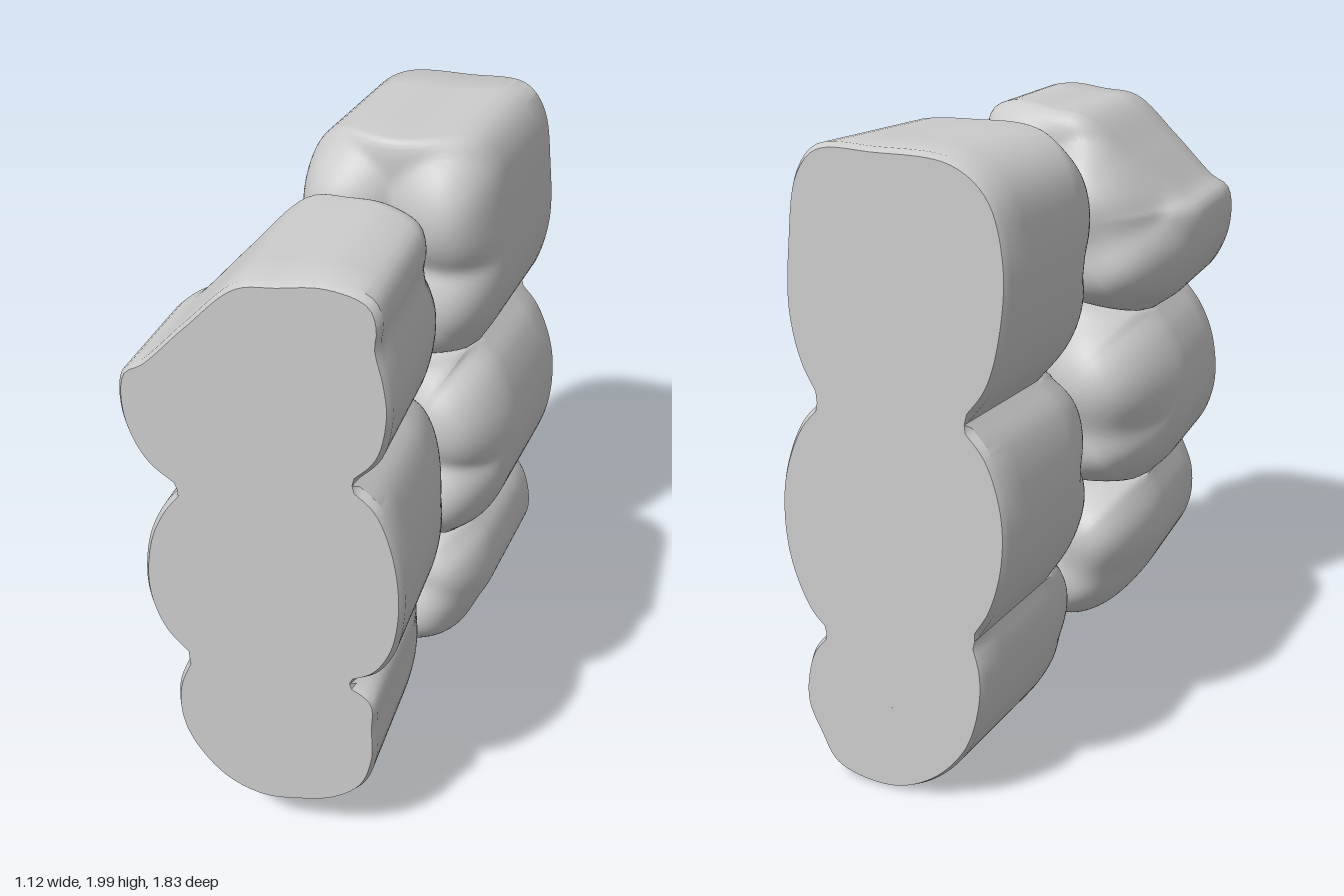
import * as THREE from 'three';
import { toCreasedNormals } from 'three/addons/utils/BufferGeometryUtils.js';

const CROWN_RINGS = 36, BASIN = 0.52, CHAMFER = 0.022;

// Closed rim of a tooth, counter-clockwise seen from +z: smooth outer walls joined by
// straight seams to the neighbouring teeth. seam is 0 to 1 along a seam, null on a wall.
function toothRim(walls) {
  const rim = [];
  walls.forEach((wall, w) => {
    const curve = new THREE.CatmullRomCurve3(wall.map(([x, y]) => new THREE.Vector3(x, y, 0)));
    const outer = curve.getSpacedPoints(Math.round(80 / walls.length));
    const from = outer[outer.length - 1], to = new THREE.Vector3(...walls[(w + 1) % walls.length][0], 0);
    outer.slice(1, -1).forEach((p) => rim.push({ x: p.x, y: p.y, seam: null }));
    for (let k = 0; k <= 24; k++) {
      const p = from.clone().lerp(to, k / 24);
      rim.push({ x: p.x, y: p.y, seam: k / 24 });
    }
  });
  return rim;
}

// One molar: a straight root block topped by a crown of rounded cusps [x, y, tip z, radius].
// dir is the z direction the crown faces; free is +1 or -1 where the row ends above or below.
function molarGeometry({ walls, cusps, free }, { dir, base, shoulder, lift }) {
  const rim = toothRim(walls), sides = rim.length;
  const box = new THREE.Box2().setFromPoints(rim);
  const c = box.getCenter(new THREE.Vector2());
  const half = box.getSize(new THREE.Vector2()).multiplyScalar(0.5);

  // Height of the crown margin: raised at the row's ends and in the middle of each seam
  const marginAt = ({ x, y, seam }) => {
    if (seam !== null) return shoulder + lift * Math.sqrt(Math.max(0, Math.sin(Math.PI * seam)));
    const a = Math.atan2((y - c.y) / half.y, (x - c.x) / half.x);
    return shoulder + lift * Math.max(0, free * Math.sin(a)) ** 4;
  };

  // Soft union of the domed cusps and the basin between them, measured from the floor
  const cuspRise = (x, y, floor) => {
    let sum = (BASIN * (-0.08 - floor)) ** 8;
    for (const [cx, cy, tip, r] of cusps) {
      const d2 = ((x - cx) ** 2 + (y - cy) ** 2) / (r * r);
      sum += ((dir * tip - floor) * Math.sqrt(Math.max(0, 1 - d2 * 0.92))) ** 8;
    }
    return sum ** 0.125;
  };

  const positions = [], index = [];
  let rings = 0;
  const addRing = (scaleAt, heightAt) => {
    for (const p of rim) {
      const s = scaleAt(p), x = c.x + (p.x - c.x) * s, y = c.y + (p.y - c.y) * s;
      positions.push(x, y, dir * heightAt(p, x, y));
    }
    rings++;
  };

  // Flat base, chamfer and wall
  const foot = (p) => (p.seam === null ? base + CHAMFER : base);
  addRing(() => 0.001, () => base);
  addRing((p) => (p.seam === null ? 0.965 : 1), () => base);
  for (let k = 0; k <= 4; k++) addRing(() => 1, (p) => THREE.MathUtils.lerp(foot(p), marginAt(p), k / 4));
  const wallTop = rings - 1;
  // Crown
  for (let k = 1; k <= CROWN_RINGS; k++) {
    const t = Math.max(0.001, Math.cos(k / CROWN_RINGS * Math.PI / 2));
    const dome = Math.sqrt(1 - t ** 5.5);
    addRing(() => t, (p, x, y) => {
      const floor = THREE.MathUtils.lerp(shoulder + lift * 0.5, marginAt(p), t * t);
      return floor + dome * cuspRise(x, y, floor);
    });
  }

  for (let r = 0; r < rings - 1; r++) {
    for (let i = 0; i < sides; i++) {
      const j = (i + 1) % sides;
      // Neighbouring teeth are open to each other along the seams
      if (r >= 1 && r < wallTop && rim[i].seam !== null && rim[j].seam !== null) continue;
      const a = r * sides + i, b = r * sides + j, d = a + sides, e = b + sides;
      if (dir > 0) index.push(a, b, e, a, e, d);
      else index.push(a, e, b, a, d, e);
    }
  }
  const geo = new THREE.BufferGeometry();
  geo.setAttribute('position', new THREE.Float32BufferAttribute(positions, 3));
  geo.setIndex(index);
  return toCreasedNormals(geo, 0.6);
}

// Teeth per row, upper to lower, in the row's own tilted frame
const frontRow = {
  name: 'frontToothRow', turn: -0.095, pitch: -0.015, shift: [0, -0.008, 0.012],
  dir: -1, base: -0.88, shoulder: -0.47, lift: 0.2,
  teeth: [
    {
      free: 1,
      walls: [[[0.2, 1.39], [0.28, 1.48], [0.31, 1.62], [0.3, 1.72], [0.275, 1.83], [0.28, 1.89], [0.255, 1.955],
        [0.14, 1.99], [0, 1.975], [-0.12, 1.955], [-0.27, 1.82], [-0.41, 1.68], [-0.47, 1.64], [-0.48, 1.5],
        [-0.42, 1.36], [-0.32, 1.28]]],
      cusps: [[0.16, 1.57, 0.09, 0.25], [0.13, 1.83, 0.19, 0.2], [-0.17, 1.68, 0.09, 0.23], [-0.25, 1.46, 0.1, 0.23]],
    },
    {
      free: 0,
      walls: [
        [[0.19, 0.685], [0.27, 0.73], [0.325, 0.82], [0.35, 0.95], [0.345, 1.1], [0.31, 1.25], [0.27, 1.33], [0.2, 1.39]],
        [[-0.32, 1.28], [-0.38, 1.2], [-0.43, 1.08], [-0.445, 0.9], [-0.4, 0.76], [-0.32, 0.67]],
      ],
      cusps: [[0.18, 1.17, 0.1, 0.23], [0.18, 0.89, 0.1, 0.25], [-0.2, 1.06, 0.065, 0.25], [-0.2, 0.81, 0.1, 0.23]],
    },
    {
      free: -1,
      walls: [[[-0.32, 0.67], [-0.365, 0.55], [-0.365, 0.42], [-0.32, 0.31], [-0.22, 0.2], [-0.1, 0.155],
        [0.03, 0.17], [0.14, 0.205], [0.23, 0.28], [0.27, 0.4], [0.27, 0.52], [0.265, 0.63], [0.19, 0.685]]],
      cusps: [[0.13, 0.46, 0.12, 0.24], [-0.19, 0.51, 0.075, 0.22], [-0.13, 0.32, 0.1, 0.22]],
    },
  ],
};
const backRow = {
  name: 'backToothRow', turn: -0.19, pitch: 0, shift: [0, 0, 0],
  dir: 1, base: -0.87, shoulder: -0.4, lift: 0.2,
  teeth: [
    {
      free: 1,
      walls: [[[0.26, 1.23], [0.32, 1.34], [0.355, 1.5], [0.345, 1.7], [0.31, 1.9], [0.24, 1.98], [0.05, 1.985],
        [-0.2, 1.965], [-0.31, 1.88], [-0.36, 1.7], [-0.345, 1.48], [-0.3, 1.33], [-0.225, 1.23]]],
      cusps: [[0.19, 1.74, -0.11, 0.23], [0.18, 1.4, -0.14, 0.23], [-0.18, 1.74, -0.08, 0.22], [-0.17, 1.42, -0.09, 0.22]],
    },
    {
      free: 0,
      walls: [
        [[0.26, 0.49], [0.32, 0.55], [0.385, 0.7], [0.405, 0.86], [0.39, 1.0], [0.33, 1.15], [0.26, 1.23]],
        [[-0.225, 1.23], [-0.3, 1.14], [-0.35, 0.98], [-0.35, 0.82], [-0.31, 0.67], [-0.25, 0.57]],
      ],
      cusps: [[0.21, 0.99, -0.1, 0.24], [0.19, 0.67, -0.07, 0.22], [-0.18, 1.05, -0.08, 0.21], [-0.18, 0.75, -0.06, 0.22]],
    },
    {
      free: -1,
      walls: [[[-0.25, 0.57], [-0.275, 0.47], [-0.27, 0.35], [-0.22, 0.2], [-0.1, 0.07], [0.05, 0.01],
        [0.24, 0.045], [0.3, 0.14], [0.345, 0.25], [0.32, 0.41], [0.26, 0.49]]],
      cusps: [[0.2, 0.36, -0.12, 0.2], [0.13, 0.18, -0.08, 0.2], [-0.14, 0.42, -0.07, 0.2], [-0.1, 0.22, -0.07, 0.2]],
    },
  ],
};

export function createModel() {
  const model = new THREE.Group();
  model.name = 'toothRows';
  const material = new THREE.MeshStandardMaterial({ color: 0xcccccc });
  const places = ['upper', 'middle', 'lower'];
  for (const row of [frontRow, backRow]) {
    const group = new THREE.Group();
    group.name = row.name;
    group.rotation.set(row.pitch, row.turn, 0);
    group.position.set(...row.shift);
    row.teeth.forEach((tooth, i) => {
      const mesh = new THREE.Mesh(molarGeometry(tooth, row), material);
      mesh.name = places[i] + 'Molar';
      group.add(mesh);
    });
    model.add(group);
  }
  return model;
}
